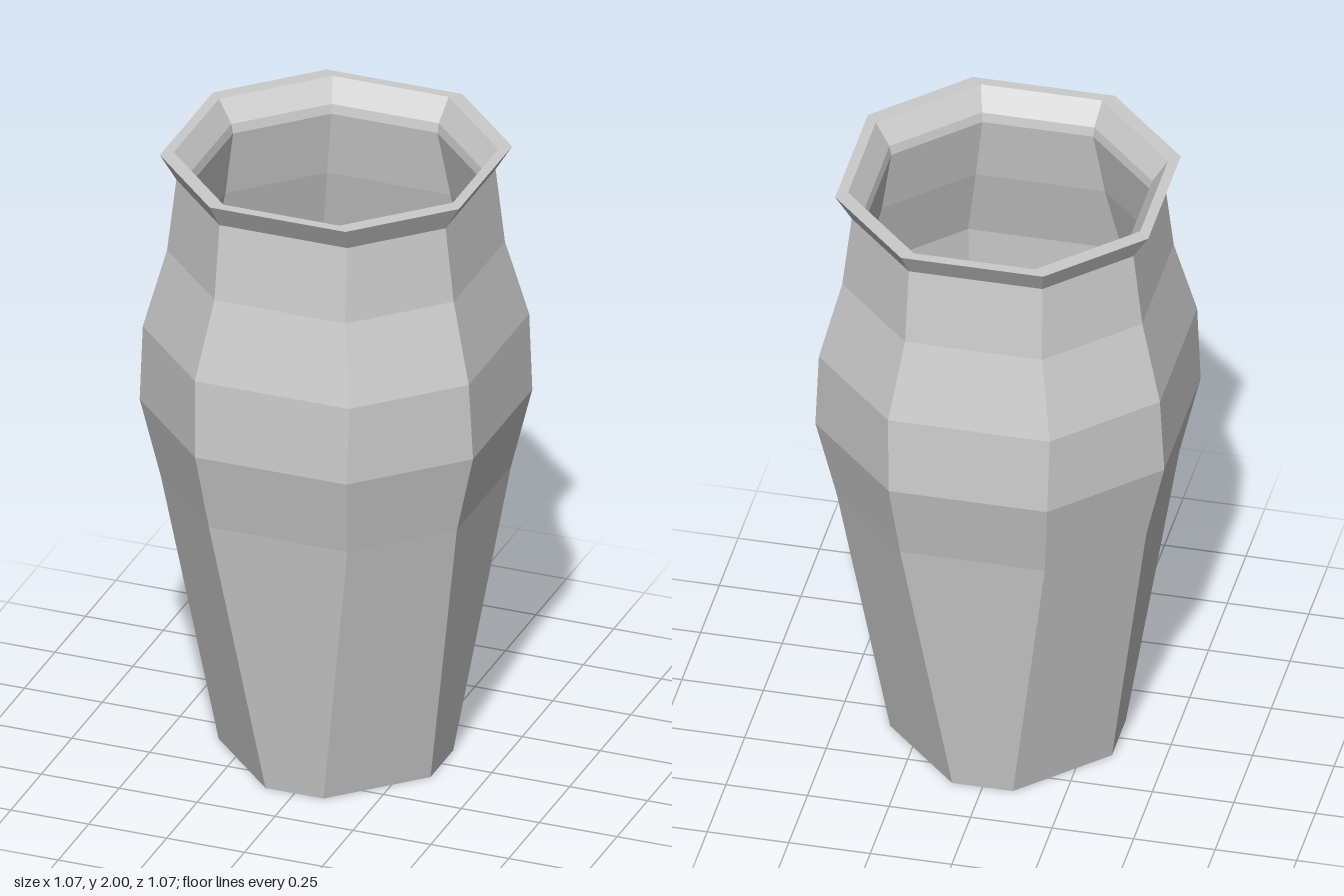
import * as THREE from 'three';

// Octagonal ring: half width a, half length b of the straight sides
const ring = ([y, a, b]) =>
  [[a, -b], [a, b], [b, a], [-b, a], [-a, b], [-a, -b], [-b, -a], [b, -a]]
    .map(([x, z]) => [x, y, z]);

// Skin between successive rings, optionally capped with flat fans at both ends
function loft(profile) {
  const rings = profile.map(ring);
  const pos = [];
  const tri = (...pts) => pts.forEach((p) => pos.push(...p));
  for (let r = 0; r < rings.length - 1; r++) {
    const lo = rings[r], up = rings[r + 1];
    for (let i = 0; i < 8; i++) {
      const j = (i + 1) % 8;
      tri(lo[i], up[i], lo[j]);
      tri(up[i], up[j], lo[j]);
    }
  }
  const first = rings[0], last = rings[rings.length - 1];
  for (let i = 0; i < 8; i++) {
    const j = (i + 1) % 8;
    tri([0, profile[0][0], 0], first[i], first[j]);
    tri([0, profile[profile.length - 1][0], 0], last[j], last[i]);
  }
  const geo = new THREE.BufferGeometry();
  geo.setAttribute('position', new THREE.Float32BufferAttribute(pos, 3));
  geo.computeVertexNormals();
  return geo;
}

export function createModel() {
  const group = new THREE.Group();
  group.name = 'vase';
  const material = new THREE.MeshStandardMaterial({ color: 0xcccccc, flatShading: true });

  // One closed skin: [height, half width, half side length]
  const profile = [
    // outer wall, foot to neck
    [0, 0.34, 0.093],
    [0.92, 0.475, 0.222],
    [1.18, 0.535, 0.243],
    [1.43, 0.523, 0.248],
    [1.68, 0.46, 0.21],
    [1.92, 0.432, 0.205],
    // flared lip
    [2.0, 0.48, 0.218],
    [2.0, 0.448, 0.186],
    [1.93, 0.403, 0.172],
    // inner wall, neck to floor
    [1.9, 0.397, 0.17],
    [1.68, 0.432, 0.198],
    [1.43, 0.495, 0.236],
    [1.18, 0.507, 0.231],
    [0.92, 0.448, 0.21],
    [0.03, 0.317, 0.07],
  ];
  const body = new THREE.Mesh(loft(profile), material);
  body.name = 'vaseBody';
  group.add(body);
  return group;
}
